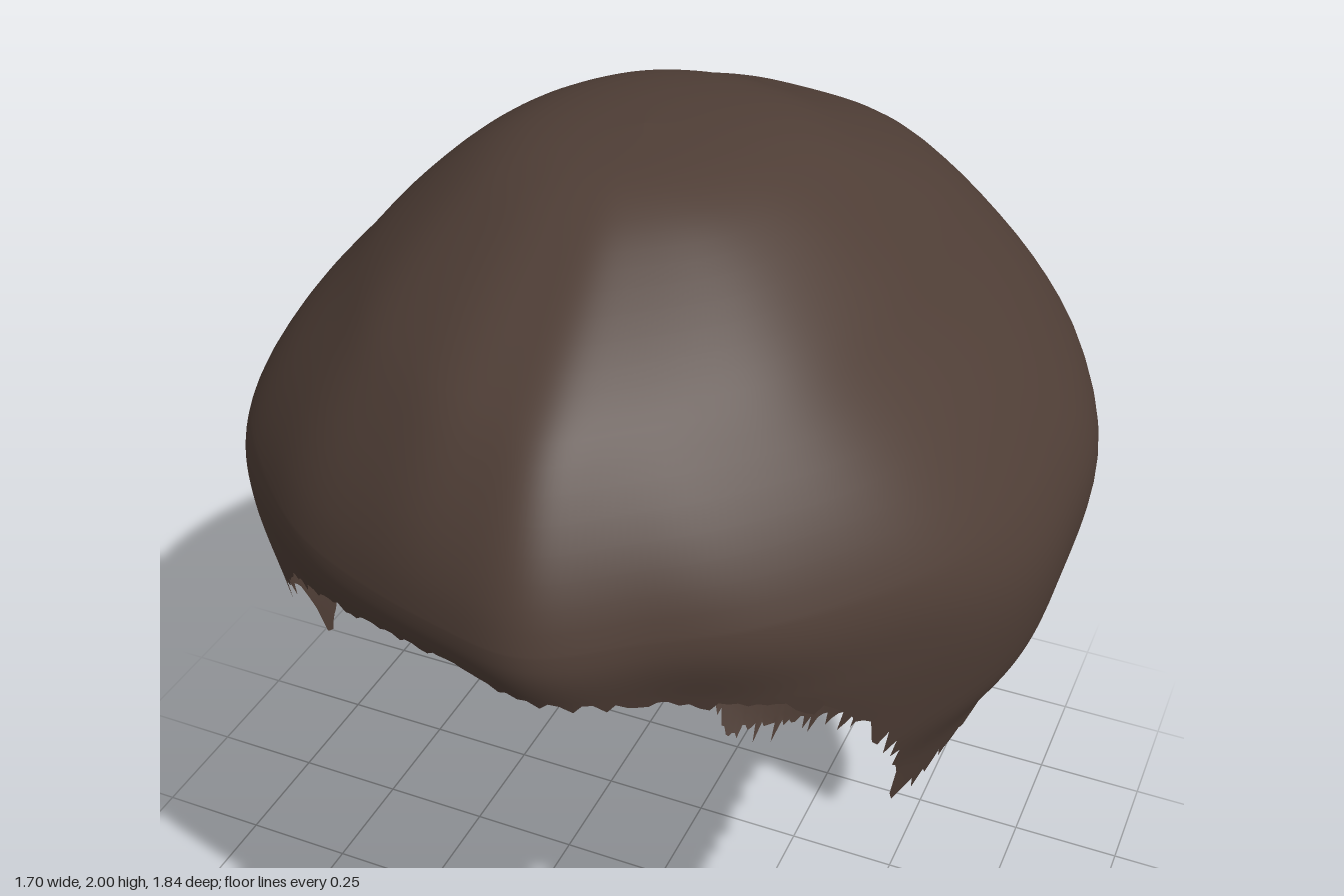
import * as THREE from 'three';

// Horizontal sections from crown to nape: [y, half width, front z, back z, centre z]
const SECTIONS = [
  [2.0, 0, 0.08, 0.08, 0.08], [1.99, 0.14, 0.27, -0.1, 0.08], [1.96, 0.26, 0.38, -0.26, 0.06],
  [1.9, 0.365, 0.5, -0.4, 0.04], [1.8, 0.48, 0.67, -0.63, 0.02], [1.7, 0.575, 0.8, -0.735, 0],
  [1.55, 0.715, 0.905, -0.815, -0.02], [1.4, 0.815, 0.94, -0.87, -0.03], [1.25, 0.85, 0.885, -0.9, -0.03],
  [1.05, 0.82, 0.83, -0.915, -0.03], [0.9, 0.745, 0.86, -0.9, -0.03], [0.7, 0.685, 0.86, -0.845, -0.05],
  [0.5, 0.64, 0.6, -0.78, -0.08], [0.3, 0.55, 0.4, -0.695, -0.15], [0.1, 0.43, 0.2, -0.605, -0.25],
  [0, 0.36, 0, -0.53, -0.3],
];

// Hairline: [degrees from the front, y], fringe -> sideburn -> ear -> nape
const SIDE = [[61, 0.95], [67, 0.78], [74, 0.82], [80, 0.87], [86, 0.92],
  [95, 0.91], [99, 0.78], [103, 0.45], [107, 0.36], [124, 0.27]];
const LEFT_EDGE = [[0, 1.34], [20, 1.28], [43, 1.21], [51, 1.12], ...SIDE,
  [138, 0.22], [142, 0.16], [165, 0.06], [180, 0.02]];
const RIGHT_EDGE = [[0, 1.34], [22, 1.31], [38, 1.21], [50, 1.06], ...SIDE,
  [140, 0.24], [154, 0.2], [158, 0.07], [180, 0.02]];

function hairline(deg) {
  const table = deg >= 0 ? LEFT_EDGE : RIGHT_EDGE;
  const d = Math.abs(deg);
  for (let i = 1; i < table.length; i++) {
    const [a0, y0] = table[i - 1], [a1, y1] = table[i];
    if (d <= a1) return y0 + (y1 - y0) * (d - a0) / (a1 - a0);
  }
  return table[table.length - 1][1];
}

// Smooth interpolation between sections at parameter s
function section(s) {
  const n = SECTIONS.length - 1;
  const i = Math.min(Math.floor(s), n - 1), t = s - i;
  const at = (k) => SECTIONS[Math.max(0, Math.min(n, k))];
  return SECTIONS[0].map((_, c) => {
    const p0 = at(i - 1)[c], p1 = at(i)[c], p2 = at(i + 1)[c], p3 = at(i + 2)[c];
    return p1 + 0.5 * t * (p2 - p0 + t * (2 * p0 - 5 * p1 + 4 * p2 - p3 + t * (3 * (p1 - p2) + p3 - p0)));
  });
}

// Parameter at which the shell reaches height y
function paramAt(y) {
  let lo = 0, hi = SECTIONS.length - 1;
  for (let k = 0; k < 30; k++) {
    const mid = (lo + hi) / 2;
    if (section(mid)[0] > y) lo = mid; else hi = mid;
  }
  return (lo + hi) / 2;
}

function shellPoint(s, a) {
  const [y, w, zf, zb, zc] = section(s);
  const c = Math.cos(a), sn = Math.sin(a);
  const fade = Math.min(1, s / 5);
  // Gentle waves in the hair, fading out at the crown
  const wave = 0.004 * (Math.sin(5 * a + 0.7 * s) + Math.sin(11 * a - 0.9 * s + 1));
  // Fuller back corners, more so on the left; slimmer front with a tuft left of the middle
  const corner = Math.sin(2 * a) ** 2;
  const shape = c < 0
    ? (0.04 + 0.045 * sn) * corner
    : 0.05 * Math.exp(-(((a - 0.2) / 0.17) ** 2)) - 0.05 * c * c * (1 + corner);
  const swell = 1 + fade * (wave + shape);
  return [w * sn * swell, Math.max(0, y), zc + (c > 0 ? zf - zc : zc - zb) * c * swell];
}

function seeded(seed) {
  return () => (seed = (seed * 16807) % 2147483647) / 2147483647;
}

function hairShell() {
  const columns = 300, capRows = 26, rows = 48, capEnd = 6.8;
  const random = seeded(41);
  const positions = [], index = [];
  for (let j = 0; j < columns; j++) {
    const deg = -180 + j * 360 / columns;
    const a = THREE.MathUtils.degToRad(deg);
    const edge = hairline(deg);
    const sEdge = paramAt(edge + 0.02);
    // Only the last row is ragged, giving the uneven strand tips
    const amount = Math.abs(deg) < 40 ? 0.025 : 0.055;
    const sTip = paramAt(Math.max(0, edge + 0.01 - amount * random() ** 3));
    for (let i = 0; i <= rows; i++) {
      // Level rows over the cap, then rows that follow the hairline
      let s = capEnd * i / capRows;
      if (i > capRows) s = capEnd + (sEdge - capEnd) * (i - capRows) / (rows - 1 - capRows);
      if (i === rows) s = sTip;
      positions.push(...shellPoint(s, a));
    }
    const here = j * (rows + 1), next = ((j + 1) % columns) * (rows + 1);
    for (let i = 0; i < rows; i++) {
      if (i > 0) index.push(here + i, here + i + 1, next + i);
      index.push(here + i + 1, next + i + 1, next + i);
    }
  }
  const geometry = new THREE.BufferGeometry();
  geometry.setAttribute('position', new THREE.Float32BufferAttribute(positions, 3));
  geometry.setIndex(index);
  geometry.computeVertexNormals();
  return geometry;
}

export function createModel() {
  const brown = new THREE.MeshStandardMaterial({ color: 0x4f3e36, side: THREE.DoubleSide });
  brown.name = 'darkBrownHair';
  const group = new THREE.Group();
  group.name = 'hair';
  const shell = new THREE.Mesh(hairShell(), brown);
  shell.name = 'hairShell';
  group.add(shell);
  return group;
}
